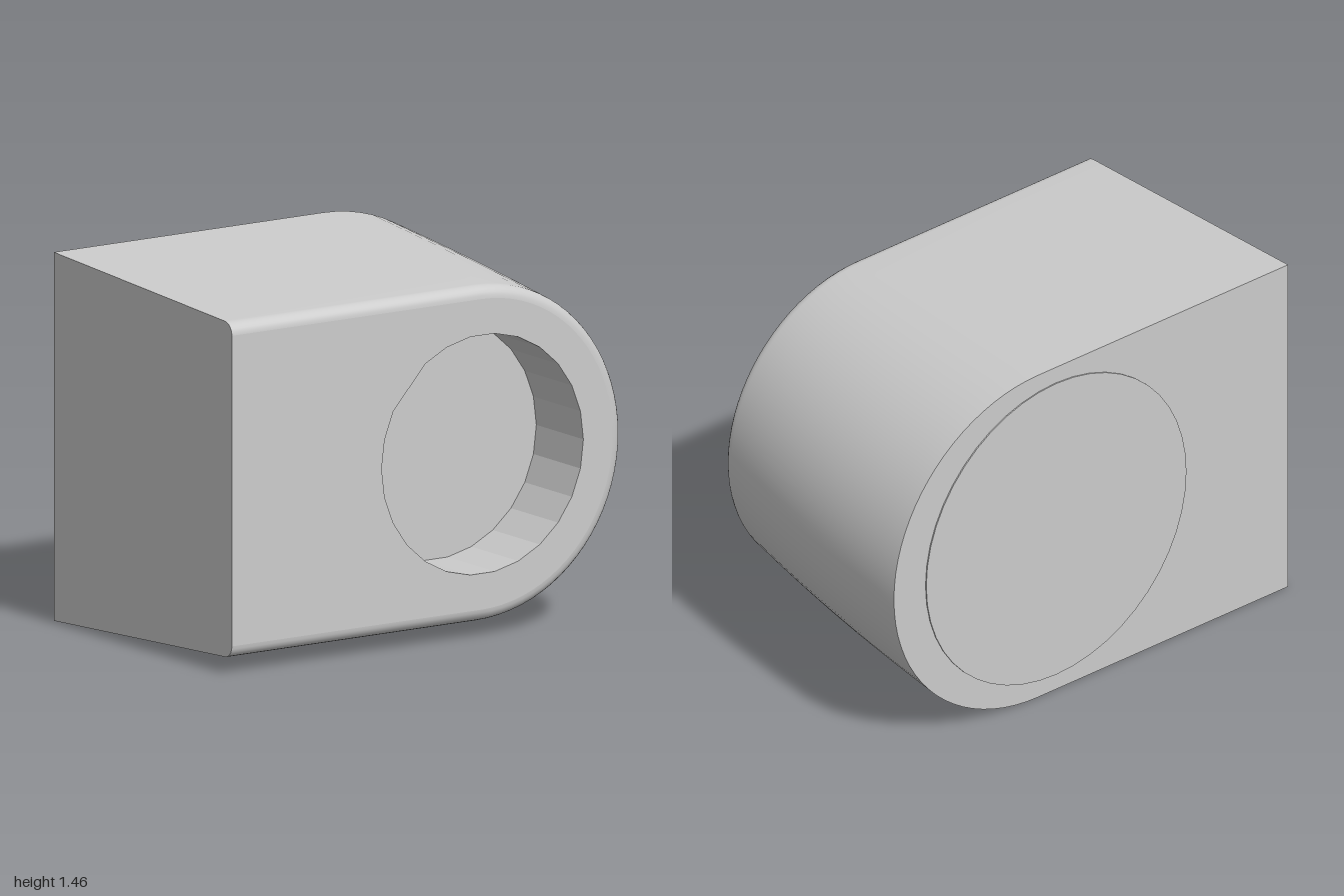
import * as THREE from 'three';

const MID_Y = 0.73, HOLE_X = 0.18;
const BACK = -0.603, FRONT = 0.608, FILLET = 0.05;
const SHOULDER = FRONT - FILLET;

// Outline at depth z: flat left end, rounded right end, clockwise from top left
function section(z, inset = 0, steps = 40) {
  const t = (Math.min(z, SHOULDER) - BACK) / (SHOULDER - BACK);
  const half = 0.73 - 0.065 * t - inset;
  const tip = 1 - 0.065 * t - 0.092 * t * t - inset;
  const cx = 0.27 - 0.095 * t;
  const pts = [new THREE.Vector3(-1, MID_Y + half, z)];
  for (let i = 0; i <= steps; i++) {
    const a = Math.PI / 2 - (Math.PI * i) / steps;
    pts.push(new THREE.Vector3(cx + (tip - cx) * Math.cos(a), MID_Y + half * Math.sin(a), z));
  }
  pts.push(new THREE.Vector3(-1, MID_Y - half, z));
  return pts;
}

// Skin between successive rings of points
function loft(rings) {
  const n = rings[0].length, index = [];
  for (let i = 0; i < rings.length - 1; i++) {
    for (let j = 0; j < n - 1; j++) {
      const a = i * n + j, c = a + n;
      index.push(a, c, a + 1, a + 1, c, c + 1);
    }
  }
  const geo = new THREE.BufferGeometry().setFromPoints(rings.flat());
  geo.setIndex(index);
  geo.computeVertexNormals();
  return geo;
}

export function createModel() {
  const group = new THREE.Group();
  const smooth = new THREE.MeshStandardMaterial({ color: 0xcccccc });
  const flat = new THREE.MeshStandardMaterial({ color: 0xcccccc, flatShading: true });
  const add = (name, geo, mat = smooth) => {
    const mesh = new THREE.Mesh(geo, mat);
    mesh.name = name;
    group.add(mesh);
    return mesh;
  };

  // Tapered shell with a rounded front edge
  const rings = [];
  for (let i = 0; i <= 10; i++) rings.push(section(BACK + ((SHOULDER - BACK) * i) / 10));
  for (let i = 1; i <= 6; i++) {
    const a = (Math.PI / 2) * (i / 6);
    rings.push(section(SHOULDER + FILLET * Math.sin(a), FILLET * (1 - Math.cos(a))));
  }
  add('shell', loft(rings));

  // Round socket outline, with one wider facet at the upper left
  const rim = [];
  for (let k = 26; k >= 0; k--) {
    if (k === 10) continue;
    const a = (k / 26) * Math.PI * 2;
    rim.push(new THREE.Vector3(HOLE_X + 0.475 * Math.cos(a), MID_Y + 0.475 * Math.sin(a), FRONT));
  }
  const floorZ = FRONT - 0.32;
  const floorRim = rim.map((p) => new THREE.Vector3(p.x, p.y, floorZ));
  const to2D = (pts) => pts.map((p) => new THREE.Vector2(p.x, p.y));

  // Front face with its socket
  const frontShape = new THREE.Shape(to2D(rings[rings.length - 1]));
  frontShape.holes.push(new THREE.Path(to2D(rim.slice(0, -1))));
  add('frontFace', new THREE.ShapeGeometry(frontShape).translate(0, 0, FRONT), flat);
  add('socketWall', loft([rim, floorRim]), flat);
  add('socketFloor', new THREE.ShapeGeometry(new THREE.Shape(to2D(rim.slice(0, -1)))).translate(0, 0, floorZ), flat);

  // Back face and its shallow raised disc
  const backShape = new THREE.Shape(rings[0].map((p) => new THREE.Vector2(-p.x, p.y)));
  add('backFace', new THREE.ShapeGeometry(backShape).rotateY(Math.PI).translate(0, 0, BACK), flat);
  const disc = add('backDisc', new THREE.CylinderGeometry(0.66, 0.66, 0.01, 48).rotateX(Math.PI / 2));
  disc.position.set(HOLE_X, MID_Y, BACK);

  // Flat end, following the shell's edge
  const lower = rings.map((r) => r[r.length - 1]);
  const upper = rings.map((r) => r[0]).reverse();
  const endShape = new THREE.Shape([...lower, ...upper].map((p) => new THREE.Vector2(p.z, p.y)));
  add('flatEnd', new THREE.ShapeGeometry(endShape).rotateY(-Math.PI / 2).translate(-1, 0, 0), flat);

  return group;
}
